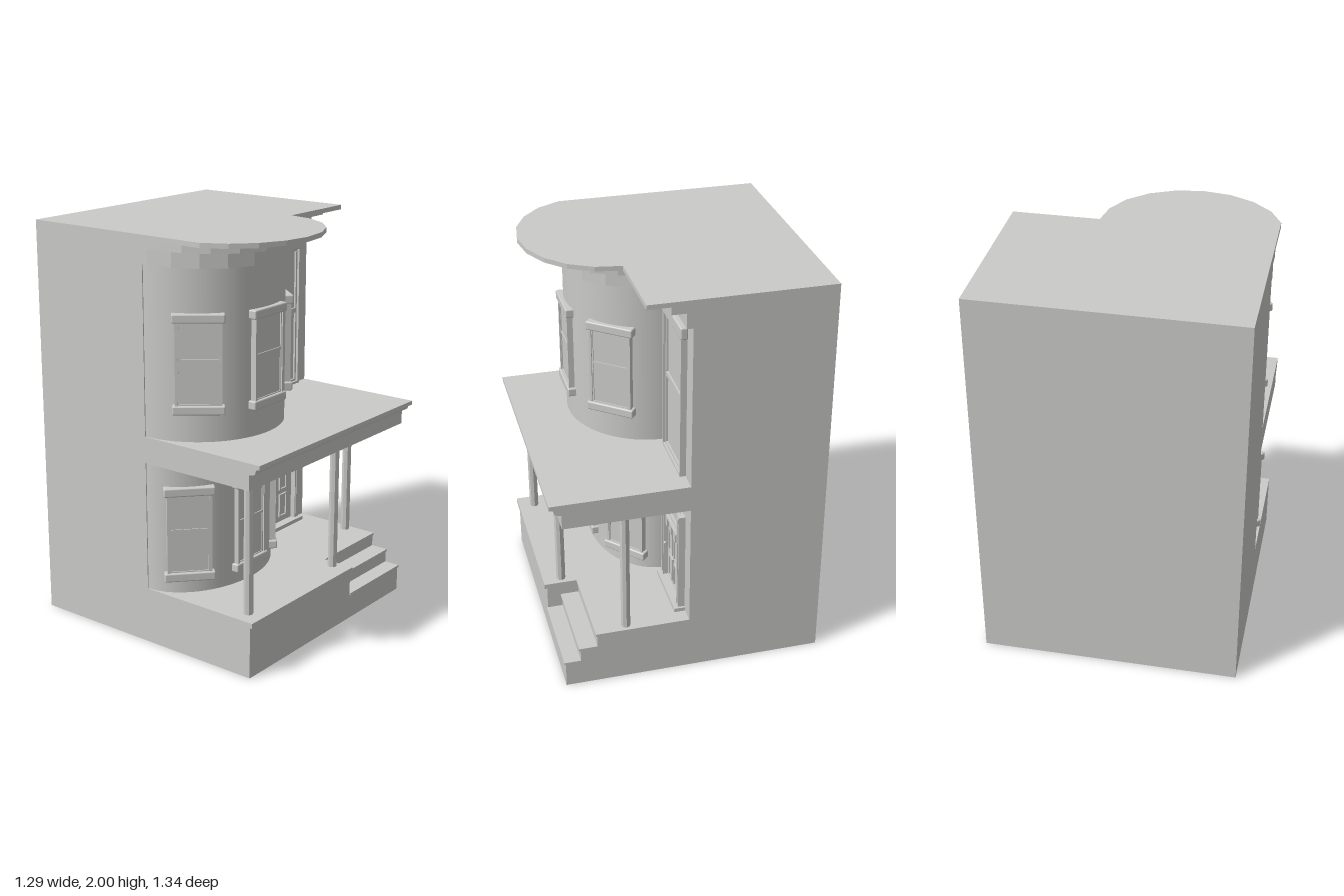
import * as THREE from 'three';
import { RoundedBoxGeometry } from 'three/addons/geometries/RoundedBoxGeometry.js';

const stone = new THREE.MeshStandardMaterial({ color: 0xcacac8, side: THREE.DoubleSide });
stone.name = 'pale grey stone';

const W = 0.64, BACK = -0.67, FLOOR = 0.28, FRONT = 0.62, STEP_X = 0.185;
const BAY_X = -0.225, BAY_RX = 0.41;

function add(parent, name, geometry, x = 0, y = 0, z = 0) {
  const mesh = new THREE.Mesh(geometry, stone);
  mesh.name = name;
  mesh.position.set(x, y, z);
  parent.add(mesh);
  return mesh;
}

// Box given by its limits on each axis
function block(parent, name, x0, x1, y0, y1, z0, z1, radius = 0) {
  const s = [x1 - x0, y1 - y0, z1 - z0];
  const g = radius ? new RoundedBoxGeometry(...s, 2, radius) : new THREE.BoxGeometry(...s);
  return add(parent, name, g, (x0 + x1) / 2, (y0 + y1) / 2, (z0 + z1) / 2);
}

// Thin four-cornered sheet
function sheet(parent, name, a, b, c, d) {
  const g = new THREE.BufferGeometry();
  g.setAttribute('position', new THREE.Float32BufferAttribute([a, b, c, a, c, d].flat(), 3));
  g.computeVertexNormals();
  return add(parent, name, g);
}
const wallZ = (p, n, x0, x1, y0, y1, z) => sheet(p, n, [x0, y0, z], [x1, y0, z], [x1, y1, z], [x0, y1, z]);
const wallX = (p, n, x, y0, y1, z0, z1) => sheet(p, n, [x, y0, z1], [x, y0, z0], [x, y1, z0], [x, y1, z1]);
const deck = (p, n, x0, x1, y, z0, z1) => sheet(p, n, [x0, y, z1], [x1, y, z1], [x1, y, z0], [x0, y, z0]);

const shapeOf = points => new THREE.Shape(points.map(p => new THREE.Vector2(...p)));

// Rectangular frame with an opening
function frame(parent, name, x0, x1, y0, y1, z0, z1, border) {
  const shape = shapeOf([[x0, y0], [x1, y0], [x1, y1], [x0, y1]]);
  const b = border;
  shape.holes.push(shapeOf([[x0 + b, y0 + b], [x0 + b, y1 - b], [x1 - b, y1 - b], [x1 - b, y0 + b]]));
  return add(parent, name, new THREE.ExtrudeGeometry(shape, { depth: z1 - z0, bevelEnabled: false }), 0, 0, z0);
}

// Bay window sash, head and sill, centred on its own group
function bayWindow(parent, name, bottom, rz, t) {
  const g = new THREE.Group();
  g.name = name;
  g.position.set(BAY_X + BAY_RX * Math.sin(t), bottom, rz * Math.cos(t));
  g.rotation.y = Math.atan2(Math.sin(t) / BAY_RX, Math.cos(t) / rz);
  frame(g, 'windowFrame', -0.108, 0.108, 0.03, 0.45, -0.03, 0.014, 0.012);
  frame(g, 'windowSash', -0.098, 0.098, 0.04, 0.44, -0.03, 0.008, 0.008);
  block(g, 'windowGlass', -0.095, 0.095, 0.04, 0.44, -0.003, 0.003);
  block(g, 'meetingRail', -0.095, 0.095, 0.25, 0.262, -0.01, 0.008);
  block(g, 'windowHead', -0.122, 0.122, 0.43, 0.473, -0.025, 0.022, 0.007);
  block(g, 'windowSill', -0.122, 0.122, 0, 0.043, -0.025, 0.022, 0.007);
  parent.add(g);
}

// Curved bay wall with three windows
function bay(parent, name, y0, y1, rz, windowBottom) {
  const wall = new THREE.CylinderGeometry(1, 1, y1 - y0, 32, 1, true, -Math.PI / 2, Math.PI);
  wall.scale(BAY_RX, 1, rz);
  add(parent, name, wall, BAY_X, (y0 + y1) / 2, 0);
  for (const t of [-0.9, 0, 0.9]) bayWindow(parent, name + 'Window', windowBottom, rz, t);
}

// Cornice layer following the bay and the flat wall
function corniceLayer(parent, y0, y1, offset, rx) {
  const pts = [[-W, 0], [W, 0], [W, offset]];
  for (let i = 0; i <= 10; i++) {
    const a = Math.PI * i / 10;
    pts.push([Math.max(-W, BAY_X + rx * Math.cos(a)), offset + 0.407 * Math.sin(a)]);
  }
  const g = new THREE.ExtrudeGeometry(shapeOf(pts), { depth: y1 - y0, bevelEnabled: false });
  g.rotateX(Math.PI / 2);
  add(parent, 'cornice', g, 0, y1, 0);
}

function buildDoor(parent) {
  const g = new THREE.Group();
  g.name = 'frontDoor';
  block(g, 'doorLeaf', 0.27, 0.52, FLOOR, 0.82, 0, 0.008);
  for (const x of [0.255, 0.537]) {
    block(g, 'doorPilaster', x - 0.016, x + 0.016, 0.3, 0.825, 0, 0.034);
    block(g, 'pilasterFace', x - 0.008, x + 0.008, 0.32, 0.81, 0.03, 0.038);
  }
  block(g, 'doorThreshold', 0.222, 0.565, FLOOR, 0.3, 0, 0.055);
  frame(g, 'transomFrame', 0.293, 0.5, 0.705, 0.805, 0, 0.022, 0.01);
  block(g, 'doorShelf', 0.288, 0.505, 0.688, 0.698, 0, 0.035);
  for (let i = 0; i < 6; i++) {
    const x = 0.29 + i * 0.0365;
    block(g, 'shelfBracket', x, x + 0.03, 0.622, 0.69, 0, i % 2 ? 0.02 : 0.028);
  }
  for (const x of [0.315, 0.407]) for (const y of [0.33, 0.483]) {
    frame(g, 'panelMoulding', x, x + 0.062, y, y + 0.128, 0, 0.018, 0.007);
    block(g, 'doorPanel', x + 0.01, x + 0.052, y + 0.01, y + 0.118, 0, 0.013);
  }
  add(g, 'doorKnob', new THREE.SphereGeometry(0.008, 12, 8), 0.294, 0.51, 0.03);
  parent.add(g);
}

function buildTallWindow(parent) {
  const g = new THREE.Group();
  g.name = 'tallWindow';
  frame(g, 'windowFrame', 0.232, 0.548, 1.055, 1.79, 0, 0.03, 0.012);
  frame(g, 'windowSash', 0.243, 0.537, 1.066, 1.77, 0, 0.018, 0.012);
  block(g, 'windowGlass', 0.25, 0.53, 1.07, 1.765, 0, 0.008);
  block(g, 'meetingRail', 0.25, 0.53, 1.435, 1.46, 0, 0.018);
  block(g, 'windowHead', 0.22, 0.56, 1.77, 1.83, 0, 0.036, 0.008);
  parent.add(g);
}

function buildPorch(parent) {
  const g = new THREE.Group();
  g.name = 'porch';
  // Hollow base, open below
  wallX(g, 'baseSide', -W, 0, FLOOR, 0, FRONT);
  wallX(g, 'baseSide', W, 0, FLOOR, 0, 0.46);
  wallZ(g, 'baseFront', -W, STEP_X, 0, FLOOR, FRONT);
  wallX(g, 'stepCheek', STEP_X, 0, FLOOR, 0.46, FRONT);
  deck(g, 'porchFloor', -W, STEP_X, FLOOR, 0, FRONT);
  deck(g, 'porchFloor', STEP_X, W, FLOOR, 0, 0.46);
  block(g, 'floorEdge', -W, STEP_X, 0.255, FLOOR, 0.61, 0.633);
  // Steps: riser, tread and nosing
  const treads = [[0, 0.137, FRONT, 0.545], [0.137, 0.208, 0.545, 0.46], [0.208, FLOOR, 0.46, 0.46]];
  for (const [y0, y1, z, zBack] of treads) {
    wallZ(g, 'stepRiser', STEP_X, W, y0, y1, z);
    if (zBack < z) {
      deck(g, 'stepTread', STEP_X, W, y1, zBack, z);
      wallX(g, 'stepSide', W, 0, y1, zBack, z);
    }
    block(g, 'stepNosing', STEP_X, W, y1 - 0.012, y1, z - 0.004, z + 0.007);
  }
  // Columns
  for (const [x, z] of [[-0.56, 0.55], [0.142, 0.54], [0.6, 0.31]]) {
    const c = new THREE.CylinderGeometry(0.023, 0.023, 0.92 - FLOOR, 8).toNonIndexed();
    c.computeVertexNormals();
    add(g, 'porchColumn', c, x, (0.92 + FLOOR) / 2, z);
  }
  // Stepped roof edge, run across the full width
  const roof = new THREE.ExtrudeGeometry(shapeOf([
    [0, 0.92], [0.612, 0.92], [0.612, 0.995], [0.635, 1], [0.645, 1.005],
    [0.65, 1.025], [0.67, 1.03], [0.67, 1.05], [0, 1.05],
  ]), { depth: 2 * W, bevelEnabled: false });
  roof.rotateY(-Math.PI / 2);
  add(g, 'porchRoof', roof, W, 0, 0);
  parent.add(g);
}

export function createModel() {
  const model = new THREE.Group();
  model.name = 'townhouse';

  // Hollow house body, open below
  wallZ(model, 'backWall', W, -W, 0, 2, BACK);
  wallX(model, 'sideWall', W, 0, 2, BACK, 0);
  sheet(model, 'sideWall', [-W, 0, BACK], [-W, 0, 0], [-W, 2, 0], [-W, 2, BACK]);
  wallZ(model, 'frontWall', -W, W, FLOOR, 2, 0);
  deck(model, 'roof', -W, W, 2, BACK, 0);

  bay(model, 'lowerBay', FLOOR, 0.92, 0.3, 0.345);
  bay(model, 'upperBay', 1.05, 1.87, 0.4, 1.185);

  corniceLayer(model, 1.865, 1.94, 0.03, 0.415);
  corniceLayer(model, 1.94, 1.977, 0.1, 0.425);
  corniceLayer(model, 1.977, 2, 0.21, 0.438);

  buildPorch(model);
  buildDoor(model);
  buildTallWindow(model);
  return model;
}
